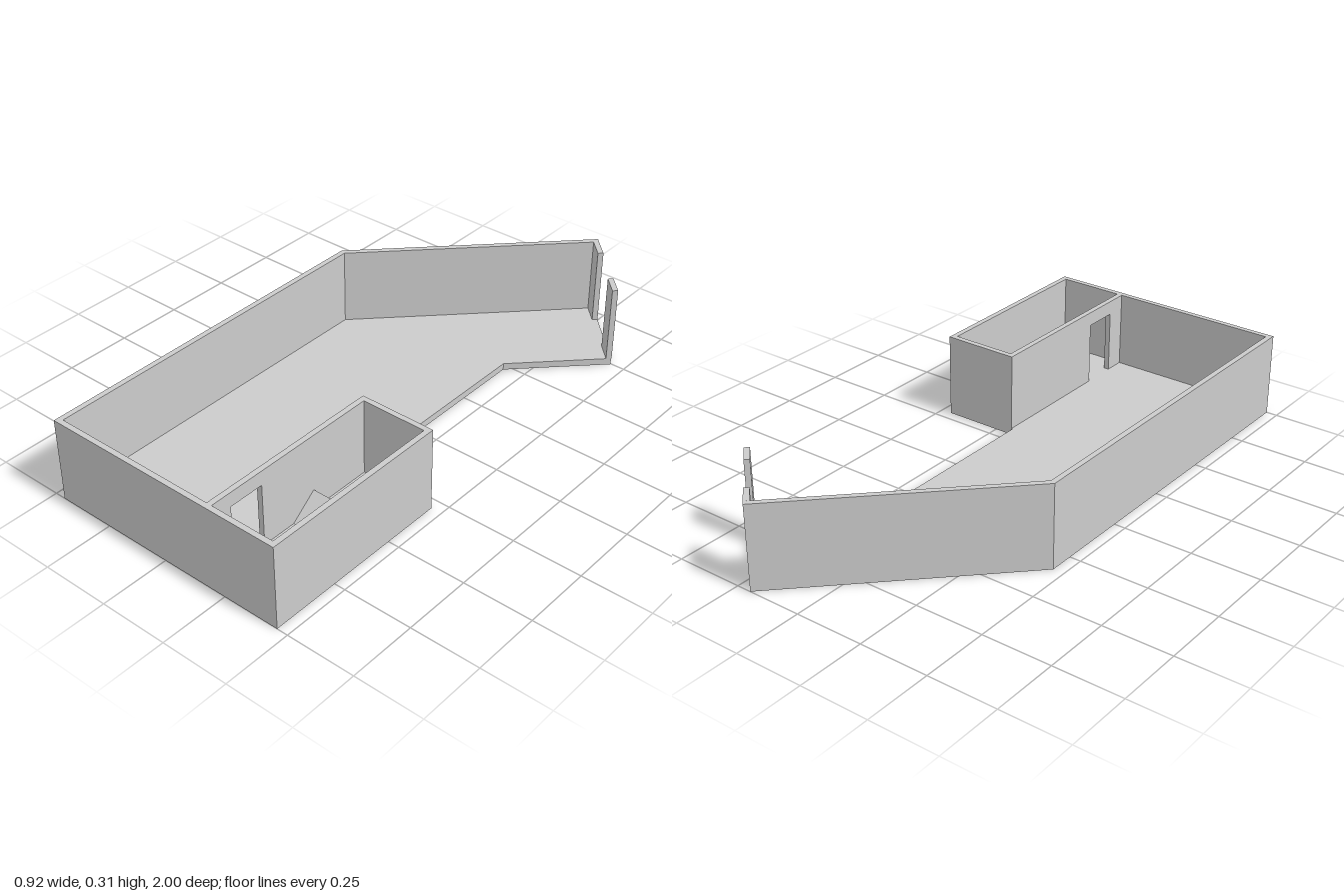
import * as THREE from 'three';

const FLOOR = 0.025, TOP = 0.307, WALL = 0.02;
const material = new THREE.MeshStandardMaterial({ color: 0xcccccc, flatShading: true });

// Upright prism over a footprint given as [x, z] corners
function prism(name, corners, y0, y1) {
  const shape = new THREE.Shape(corners.map(([x, z]) => new THREE.Vector2(x, -z)));
  const geometry = new THREE.ExtrudeGeometry(shape, { depth: y1 - y0, bevelEnabled: false });
  geometry.rotateX(-Math.PI / 2).translate(0, y0, 0);
  const mesh = new THREE.Mesh(geometry, material);
  mesh.name = name;
  return mesh;
}

const rect = (x0, x1, z0, z1) => [[x0, z0], [x1, z0], [x1, z1], [x0, z1]];

export function createModel() {
  const model = new THREE.Group();
  model.name = 'openBuilding';

  // Floor slab with the angled wing
  model.add(prism('floor', [
    [-0.46, 1], [0.46, 1], [0.46, 0.29], [0.175, 0.29],
    [0.175, -0.475], [0.447, -0.747], [0.197, -1], [-0.46, -0.34],
  ], 0, FLOOR));

  // Continuous outer wall, from the wing's tip around to the side room's back
  model.add(prism('outerWall', [
    [0.197, -1], [-0.46, -0.34], [-0.46, 1], [0.46, 1], [0.46, 0.29], [0.18, 0.29],
    [0.18, 0.31], [0.44, 0.31], [0.44, 0.98], [-0.44, 0.98], [-0.44, -0.332], [0.211, -0.986],
  ], FLOOR, TOP));

  // Partition with a doorway into the side room
  const doorNear = 0.905, doorFar = 0.775, doorTop = 0.255;
  const partition = new THREE.Group();
  partition.name = 'partition';
  partition.add(
    prism('partitionBack', rect(0.18, 0.2, 0.31, doorFar), FLOOR, TOP),
    prism('partitionFront', rect(0.18, 0.2, doorNear, 0.98), FLOOR, TOP),
    prism('doorLintel', rect(0.18, 0.2, doorFar, doorNear), doorTop, TOP),
  );
  model.add(partition);

  // Two posts flanking the open entrance at the wing's end
  const c = Math.SQRT1_2;
  const along = (t, inset) => [0.197 + c * (t - inset), -1 + c * (t + inset)];
  for (const [name, t0, t1] of [['entrancePostRight', WALL, 0.1], ['entrancePostLeft', 0.275, 0.355]]) {
    model.add(prism(name, [along(t0, 0), along(t1, 0), along(t1, WALL), along(t0, WALL)], FLOOR, TOP));
  }

  // Low sloped wedge across the side room
  const slope = new THREE.Shape([
    new THREE.Vector2(-0.645, FLOOR), new THREE.Vector2(-0.55, FLOOR), new THREE.Vector2(-0.55, 0.1),
  ]);
  const wedge = new THREE.ExtrudeGeometry(slope, { depth: 0.24, bevelEnabled: false });
  wedge.rotateY(Math.PI / 2).translate(0.2, 0, 0);
  const ramp = new THREE.Mesh(wedge, material);
  ramp.name = 'ramp';
  model.add(ramp);

  return model;
}
